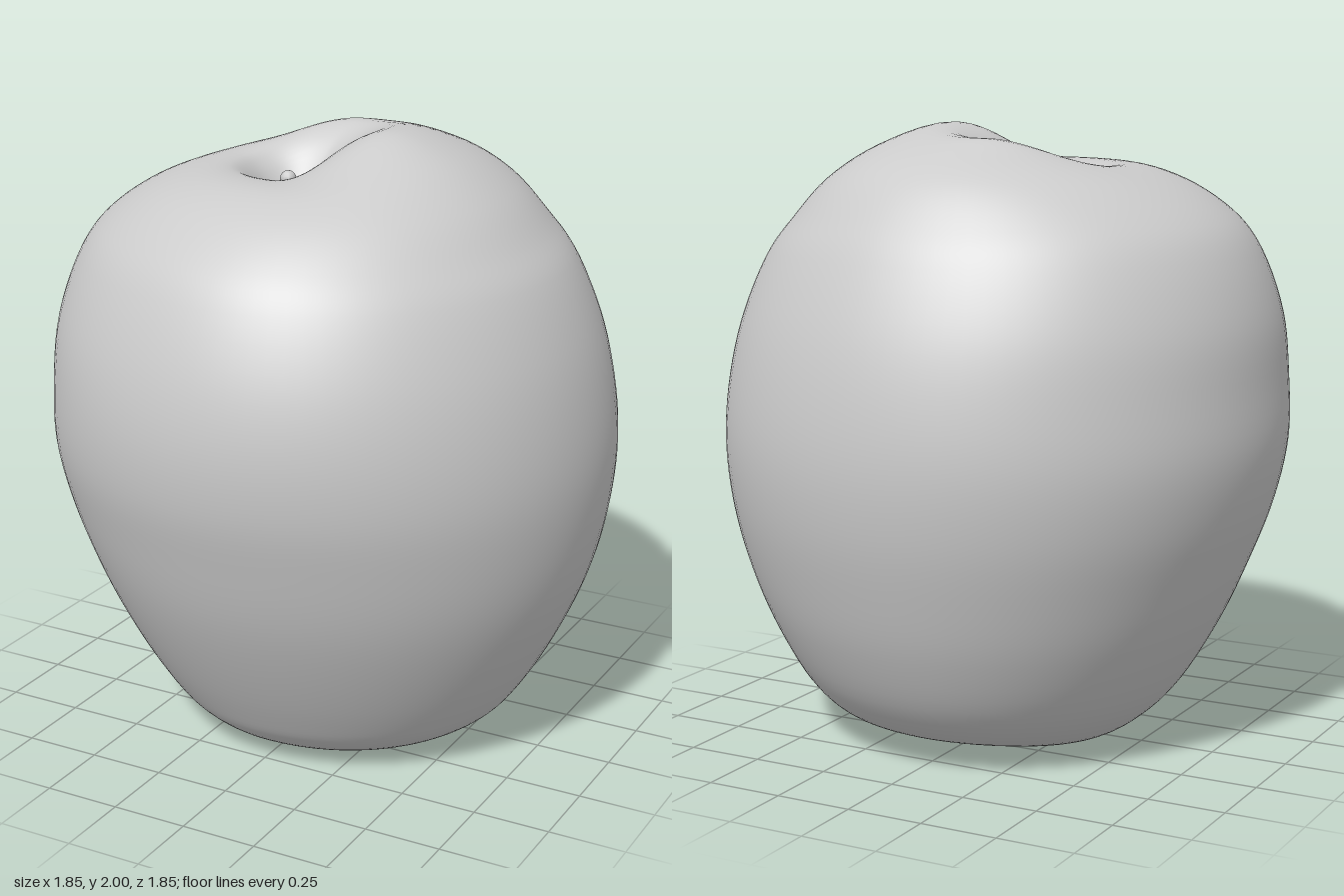
import * as THREE from 'three';

const material = new THREE.MeshStandardMaterial({ color: 0xcccccc });

// Rings: centre x, z | radii toward +x, -x, +z, -z | heights toward +x, -x, +z, -z
const bottomRings = [
  [-0.03, -0.04, 0.01, 0.01, 0.01, 0.01, 0.24, 0.24, 0.24, 0.24],
  [-0.03, -0.04, 0.09, 0.09, 0.09, 0.09, 0.22, 0.22, 0.22, 0.22],
  [-0.02, -0.03, 0.20, 0.20, 0.20, 0.20, 0.13, 0.13, 0.13, 0.16],
  [0, 0, 0.28, 0.25, 0.28, 0.28, 0.05, 0.04, 0.05, 0.09],
  [0, 0, 0.39, 0.30, 0.32, 0.38, 0.005, 0.005, 0.005, 0.055],
  [0, 0, 0.48, 0.41, 0.43, 0.47, 0.03, 0.03, 0.03, 0.065],
];
// Level rings: height | radii toward +x, -x, +z, -z
const sideRings = [
  [0.1, 0.59, 0.51, 0.53, 0.56],
  [0.2, 0.67, 0.60, 0.60, 0.67],
  [0.4, 0.78, 0.72, 0.71, 0.78],
  [0.6, 0.86, 0.81, 0.80, 0.85],
  [0.8, 0.905, 0.885, 0.865, 0.90],
  [1.0, 0.92, 0.925, 0.915, 0.92],
  [1.2, 0.90, 0.92, 0.925, 0.905],
  [1.4, 0.85, 0.90, 0.89, 0.86],
  [1.6, 0.76, 0.83, 0.81, 0.78],
  [1.7, 0.68, 0.76, 0.74, 0.72],
].map(([y, ...r]) => [0, 0, ...r, y, y, y, y]);
const topRings = [
  [0, 0, 0.57, 0.62, 0.60, 0.60, 1.82, 1.80, 1.815, 1.84],
  [0, 0, 0.40, 0.46, 0.45, 0.45, 1.935, 1.86, 1.87, 1.92],
  [-0.08, 0, 0.27, 0.27, 0.29, 0.29, 2.0, 1.865, 1.87, 1.96],
  [-0.12, 0, 0.16, 0.18, 0.19, 0.19, 1.94, 1.83, 1.84, 1.90],
  [-0.15, 0, 0.08, 0.10, 0.10, 0.10, 1.80, 1.76, 1.78, 1.77],
  [-0.16, 0, 0.04, 0.04, 0.04, 0.04, 1.66, 1.66, 1.66, 1.66],
  [-0.16, 0, 0.005, 0.005, 0.005, 0.005, 1.62, 1.62, 1.62, 1.62],
];

// Point on a ring made of four quarter ellipses with blended heights
function ringPoint([cx, cz, px, nx, pz, nz, ypx, ynx, ypz, ynz], t) {
  const c = Math.cos(t), s = Math.sin(t);
  return new THREE.Vector3(
    cx + c * (c > 0 ? px : nx),
    c * c * (c > 0 ? ypx : ynx) + s * s * (s > 0 ? ypz : ynz),
    cz + s * (s > 0 ? pz : nz)
  );
}

// Smooth skin lofted through the rings, one spline per meridian
function fruitGeometry(cols = 96, rows = 110) {
  const rings = [...bottomRings, ...sideRings, ...topRings];
  const positions = [], index = [];
  for (let j = 0; j < cols; j++) {
    const t = (j / cols) * Math.PI * 2;
    const meridian = new THREE.CatmullRomCurve3(rings.map((r) => ringPoint(r, t)));
    for (let i = 0; i <= rows; i++) positions.push(...meridian.getPoint(i / rows).toArray());
  }
  for (let j = 0; j < cols; j++) {
    for (let i = 0; i < rows; i++) {
      const a = j * (rows + 1) + i;
      const b = ((j + 1) % cols) * (rows + 1) + i;
      index.push(a, a + 1, b, b, a + 1, b + 1);
    }
  }
  const geometry = new THREE.BufferGeometry();
  geometry.setAttribute('position', new THREE.Float32BufferAttribute(positions, 3));
  geometry.setIndex(index);
  geometry.computeVertexNormals();
  return geometry;
}

export function createModel() {
  const model = new THREE.Group();
  model.name = 'apple';
  const add = (geometry, name, parent = model) => {
    const mesh = new THREE.Mesh(geometry, material);
    mesh.name = name;
    parent.add(mesh);
    return mesh;
  };

  add(fruitGeometry(), 'fruit');

  // Short stem leaning forward inside the top hollow
  const path = new THREE.CatmullRomCurve3([
    new THREE.Vector3(-0.16, 1.6, 0),
    new THREE.Vector3(-0.155, 1.72, 0.03),
    new THREE.Vector3(-0.135, 1.83, 0.08),
  ]);
  add(new THREE.TubeGeometry(path, 12, 0.026, 12), 'stem');
  const tip = add(new THREE.SphereGeometry(0.026, 12, 8), 'stemTip');
  tip.position.set(-0.135, 1.83, 0.08);

  // Withered blossom remnant in the bottom hollow
  const calyx = new THREE.Group();
  calyx.name = 'calyx';
  calyx.position.set(-0.03, 0.21, -0.04);
  model.add(calyx);
  for (let k = 0; k < 5; k++) {
    const t = (k / 5) * Math.PI * 2;
    const sepal = add(new THREE.SphereGeometry(0.04, 12, 8), 'sepal', calyx);
    sepal.scale.set(1.2, 0.7, 0.6);
    sepal.position.set(Math.cos(t) * 0.05, -0.01 * (k % 2), Math.sin(t) * 0.05);
    sepal.rotation.set(0, -t, 0.5);
  }
  return model;
}
